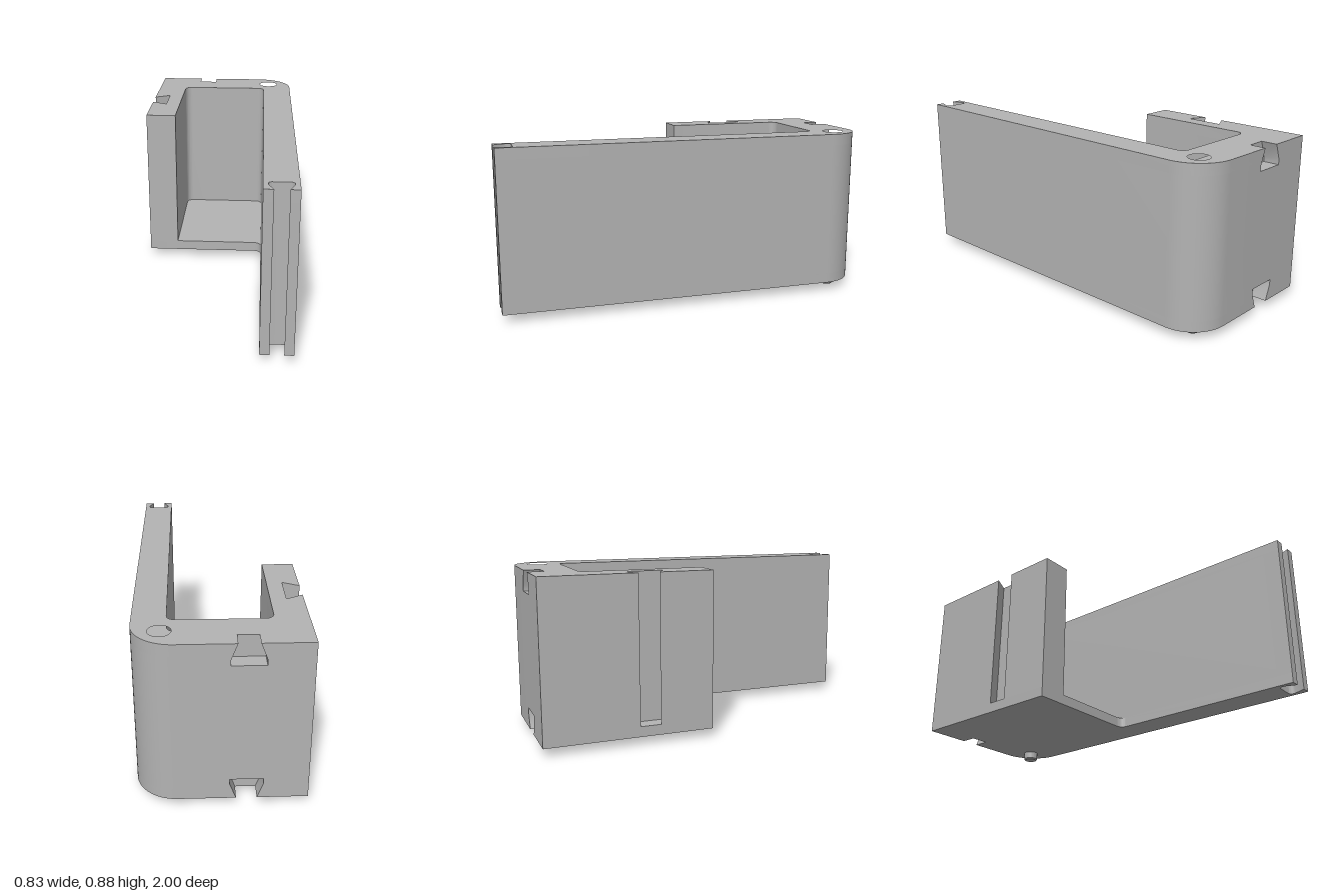
import * as THREE from 'three';
import { toCreasedNormals } from 'three/addons/utils/BufferGeometryUtils.js';

const Y0 = 0.045, FLOOR = 0.1, HOLE = 0.825, TOP = 0.885; // layer heights
const BACK = -1, NOTCH = -0.915;                          // depth of the back notches
const PEG = [0.28, -0.867];

// Closed shape from [u, v, cornerRadius?] points
function roundedShape(points) {
  const shape = new THREE.Shape();
  const n = points.length;
  points.forEach(([u, v, r = 0], i) => {
    const c = new THREE.Vector2(u, v);
    const toward = (q, d) => c.clone().add(new THREE.Vector2(q[0] - u, q[1] - v).setLength(d));
    const prev = points[(i + n - 1) % n], next = points[(i + 1) % n];
    const a = r ? toward(prev, r) : c;
    if (i === 0) shape.moveTo(a.x, a.y); else shape.lineTo(a.x, a.y);
    if (r) {
      const b = toward(next, r);
      const h1 = a.clone().lerp(c, 0.5523), h2 = b.clone().lerp(c, 0.5523);
      shape.bezierCurveTo(h1.x, h1.y, h2.x, h2.y, b.x, b.y);
    }
  });
  shape.closePath();
  return shape;
}

const extrude = (shape, depth) => toCreasedNormals(
  new THREE.ExtrudeGeometry(shape, { depth, bevelEnabled: false, curveSegments: 16 }), 0.5);

// Plan section given as [x, z, r?]
const plan = (points) => roundedShape(points.map(([x, z, r]) => [x, -z, r]));

export function createModel() {
  const model = new THREE.Group();
  const grey = new THREE.MeshStandardMaterial({ color: 0xb3b3b3 });
  grey.name = 'grey';

  const add = (name, geometry) => {
    const mesh = new THREE.Mesh(geometry, grey);
    mesh.name = name;
    model.add(mesh);
    return mesh;
  };
  const layer = (name, shape, y0, y1) => {
    const g = extrude(shape, y1 - y0);
    g.rotateX(-Math.PI / 2);
    g.translate(0, y0, 0);
    add(name, g);
  };

  // Outline shared by all layers: back, rounded corner, long arm with grooved end
  const outline = [
    [-0.415, BACK], [-0.23, BACK], [-0.23, NOTCH], [0, NOTCH], [0, BACK],
    [0.415, BACK, 0.2], [0.415, 1],
    [0.368, 1], [0.392, 0.94], [0.392, 0.91, 0.018],
    [0.273, 0.91, 0.018], [0.273, 0.94], [0.298, 1], [0.25, 1],
  ];
  // Walls around the pocket, with the dovetail slot in the side
  const walls = [
    ...outline,
    [0.25, -0.755, 0.04], [-0.25, -0.755, 0.04], [-0.25, -0.1], [-0.415, -0.1],
    [-0.415, -0.39], [-0.33, -0.345], [-0.33, -0.545], [-0.415, -0.5],
  ];

  layer('floor', plan([...outline, [0.25, -0.1, 0.04], [-0.415, -0.1]]), Y0, FLOOR);
  layer('walls', plan(walls), FLOOR, HOLE);

  // Top of the walls, with the round socket
  const rim = plan(walls);
  const socket = new THREE.Path();
  socket.absarc(PEG[0], -PEG[1], 0.055, 0, Math.PI * 2, true);
  rim.holes.push(socket);
  layer('rim', rim, HOLE, TOP);

  // Back strip with a dovetail notch at top and bottom
  const cx = -0.117;
  const notch = (edge, s) => [
    [-0.05, 0], [-0.081, 0.082], [-0.081, 0.11], [0.081, 0.11], [0.081, 0.082], [0.05, 0],
  ].map(([x, d]) => [cx + x, edge + s * d]);
  const strip = extrude(roundedShape([
    [-0.23, Y0], ...notch(Y0, 1), [0, Y0],
    [0, TOP], ...notch(TOP, -1).reverse(), [-0.23, TOP],
  ]), NOTCH - BACK);
  strip.translate(0, 0, BACK);
  add('notchedBackStrip', strip);

  // Peg under the rounded corner, chamfered at its tip
  const pegProfile = [[0, 0], [0.034, 0], [0.041, 0.007], [0.041, Y0 + 0.005]]
    .map(([r, y]) => new THREE.Vector2(r, y));
  const peg = add('peg', toCreasedNormals(new THREE.LatheGeometry(pegProfile, 40), 0.5));
  peg.position.set(PEG[0], 0, PEG[1]);

  return model;
}
